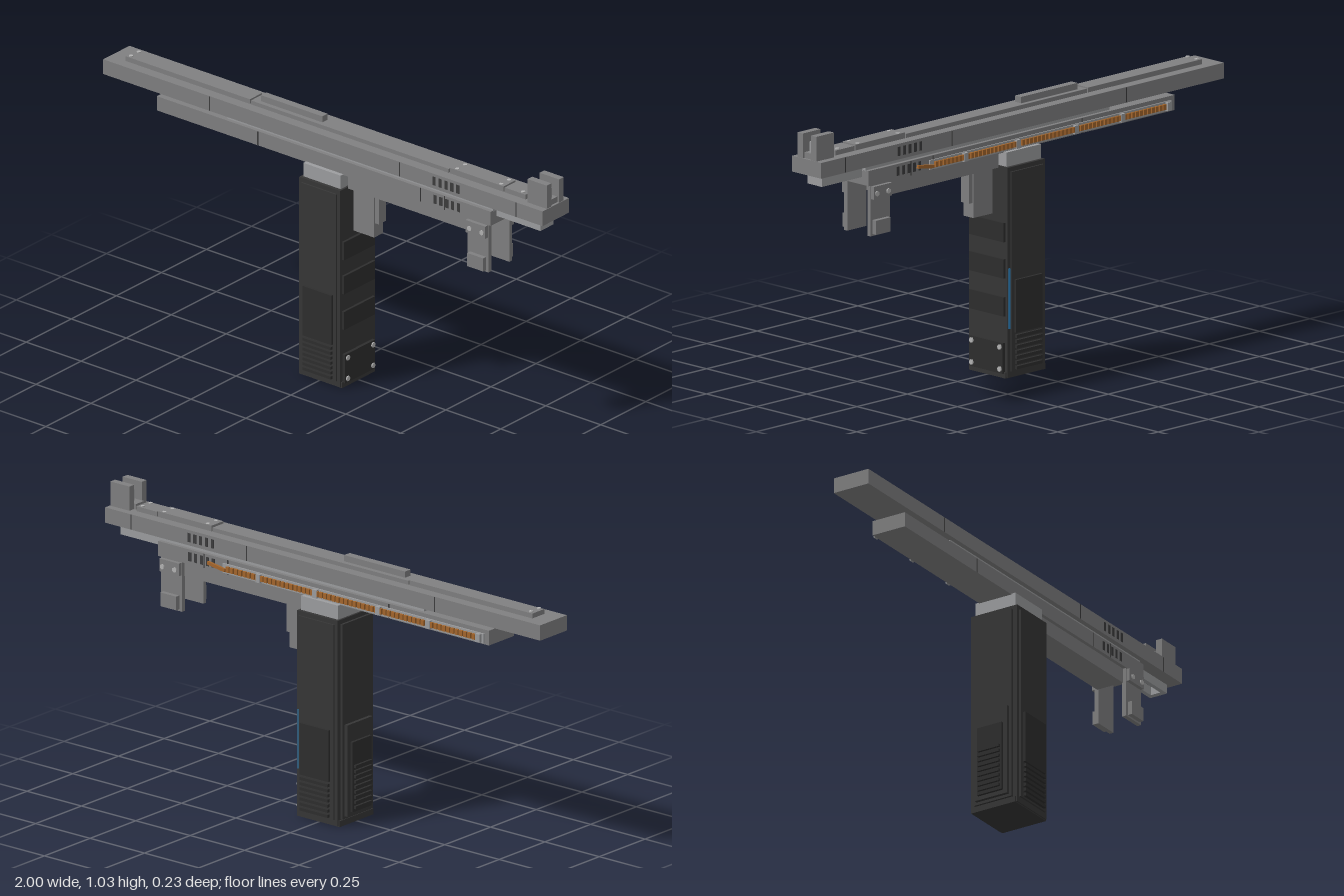
import * as THREE from 'three';

const mat = (name, color) => {
  const m = new THREE.MeshStandardMaterial({ color });
  m.name = name;
  return m;
};

export function createModel() {
  const root = new THREE.Group();
  root.name = 'model';
  const steel = mat('steel grey', 0x808081);
  const light = mat('light grey', 0x9d9ea0);
  const black = mat('grip black', 0x363636);
  const panel = mat('panel black', 0x2e2e2e);
  const dark = mat('slot dark', 0x3c3c3d);
  const bolt = mat('bolt silver', 0xb4b4b4);
  const copper = mat('copper', 0xa5672d);
  const blue = mat('blue glow', 0x2a86c8);

  // box given by its minimum and maximum on each axis
  const box = (name, m, x0, x1, y0, y1, z0, z1) => {
    const mesh = new THREE.Mesh(new THREE.BoxGeometry(x1 - x0, y1 - y0, z1 - z0), m);
    mesh.position.set((x0 + x1) / 2, (y0 + y1) / 2, (z0 + z1) / 2);
    mesh.name = name;
    root.add(mesh);
    return mesh;
  };
  // the same box on both z sides, zs are distances from the middle
  const pair = (name, m, x0, x1, y0, y1, za, zb) => {
    box(name + 'Front', m, x0, x1, y0, y1, za, zb);
    box(name + 'Back', m, x0, x1, y0, y1, -zb, -za);
  };
  const stud = (name, x, y, z, axis, r = 0.01) => {
    const mesh = new THREE.Mesh(new THREE.CylinderGeometry(r, r, 0.01, 6), bolt);
    mesh.position.set(x, y, z);
    if (axis === 'x') mesh.rotation.z = Math.PI / 2;
    if (axis === 'z') mesh.rotation.x = Math.PI / 2;
    mesh.name = name;
    root.add(mesh);
  };

  // slide
  box('slide', steel, -1, 1, 0.887, 0.944, -0.073, 0.073);
  for (const x of [-0.515, 0.35, 0.88]) {
    pair('slideSeam', dark, x - 0.002, x + 0.002, 0.888, 0.943, 0.072, 0.074);
  }
  // top rib in sections
  for (const [a, b, h] of [[-0.93, -0.365, 0.962], [-0.36, 0.54, 0.959], [0.545, 0.79, 0.965], [0.795, 0.89, 0.962]]) {
    box('topRib', steel, a, b, 0.94, h, -0.033, 0.033);
  }
  box('topBar', steel, -0.33, -0.05, 0.955, 0.982, -0.015, 0.015);
  for (const x of [-0.915, 0.57, 0.77, 0.87]) {
    for (const z of [-0.022, 0.022]) stud('ribBolt', x, 0.961, z, 'y', 0.008);
  }

  // rear sight
  pair('rearSight', steel, 0.91, 0.998, 0.94, 1.034, 0.021, 0.047);
  box('rearSightBlade', light, 0.93, 0.98, 0.94, 1.005, -0.005, 0.005);
  box('rearSightBase', steel, 0.9, 0.99, 0.94, 0.965, -0.022, 0.022);

  // inner rail and lower frame
  box('innerRail', light, -0.45, 0.76, 0.865, 0.89, -0.054, 0.054);
  box('frame', steel, -0.76, 0.76, 0.815, 0.87, -0.068, 0.068);
  for (const x of [-0.3, 0.44, 0.55]) {
    pair('frameSeam', dark, x - 0.002, x + 0.002, 0.816, 0.869, 0.067, 0.069);
  }
  box('frameUnderside', steel, 0.1, 0.65, 0.76, 0.817, -0.054, 0.054);
  // tail fork under the slide
  pair('tailRail', light, 0.75, 0.96, 0.843, 0.876, 0.02, 0.036);
  box('tailEnd', light, 0.94, 0.96, 0.843, 0.876, -0.02, 0.02);

  // vent slots
  for (let i = 0; i < 5; i++) {
    const x = 0.5 + i * 0.027;
    pair('slideVent', dark, x, x + 0.013, 0.9, 0.933, 0.071, 0.0745);
    pair('frameVent', dark, x, x + 0.013, 0.827, 0.86, 0.066, 0.0695);
  }

  // rear legs with pads and bolts
  pair('rearLeg', steel, 0.652, 0.748, 0.63, 0.817, 0.05, 0.066);
  pair('legMount', steel, 0.655, 0.745, 0.765, 0.812, 0.064, 0.08);
  pair('legPad', steel, 0.665, 0.738, 0.637, 0.688, 0.064, 0.083);
  for (const x of [0.674, 0.73]) {
    for (const s of [-1, 1]) stud('legBolt', x, 0.785, s * 0.079, 'z');
  }

  // trigger block
  box('triggerBlock', steel, 0.1, 0.195, 0.588, 0.765, -0.023, 0.026);
  box('triggerPlate', steel, 0.19, 0.212, 0.642, 0.762, -0.019, 0.021);

  // copper line in a tray along the back
  box('coilTray', light, -0.74, 0.46, 0.82, 0.855, -0.073, -0.066);
  for (let i = 0; i < 60; i++) {
    const x = -0.725 + i * 0.0195;
    box('coilTurn', copper, x, x + 0.014, 0.828, 0.848, -0.082, -0.072);
  }
  for (const x of [-0.73, -0.5, -0.27, 0.02, 0.28]) {
    box('coilClip', light, x, x + 0.02, 0.822, 0.853, -0.084, -0.07);
  }
  box('coilLead', copper, 0.445, 0.525, 0.832, 0.844, -0.081, -0.072).rotation.z = 0.15;

  // grip
  box('gripMount', light, -0.08, 0.09, 0.765, 0.818, -0.084, 0.084);
  box('grip', black, -0.088, 0.098, 0.003, 0.766, -0.097, 0.097);
  box('gripBase', black, -0.094, 0.103, 0, 0.022, -0.092, 0.092);
  pair('gripFlank', black, -0.075, 0.085, 0.025, 0.75, 0.095, 0.104);
  box('gripFrontSpine', black, -0.097, -0.085, 0.025, 0.75, -0.08, 0.08);
  pair('gripSidePanel', panel, -0.06, 0.072, 0.165, 0.357, 0.102, 0.113);
  for (let i = 0; i < 7; i++) {
    const y = 0.032 + i * 0.019;
    pair('gripRib', panel, -0.058, 0.07, y, y + 0.011, 0.102, 0.115);
  }
  // ridges on the forward face
  box('foregripPlate', black, -0.11, -0.09, 0.035, 0.375, -0.068, 0.068);
  box('foregripPanel', panel, -0.12, -0.1, 0.05, 0.31, -0.052, 0.052);
  for (let i = 0; i < 9; i++) {
    const y = 0.062 + i * 0.019;
    box('foregripRib', panel, -0.129, -0.115, y, y + 0.01, -0.045, 0.045);
  }
  // raised pads and bolted plate on the rear face
  for (const y of [0.225, 0.363, 0.495]) {
    box('rearGripPad', panel, 0.095, 0.108, y, y + 0.07, -0.086, 0.086);
  }
  box('rearGripPlate', panel, 0.095, 0.11, 0.017, 0.128, -0.083, 0.083);
  for (const y of [0.033, 0.113]) {
    for (const z of [-0.07, 0.07]) stud('plateBolt', 0.11, y, z, 'x');
  }
  box('glowStrip', blue, 0.088, 0.094, 0.18, 0.4, -0.1, -0.096);

  return root;
}
